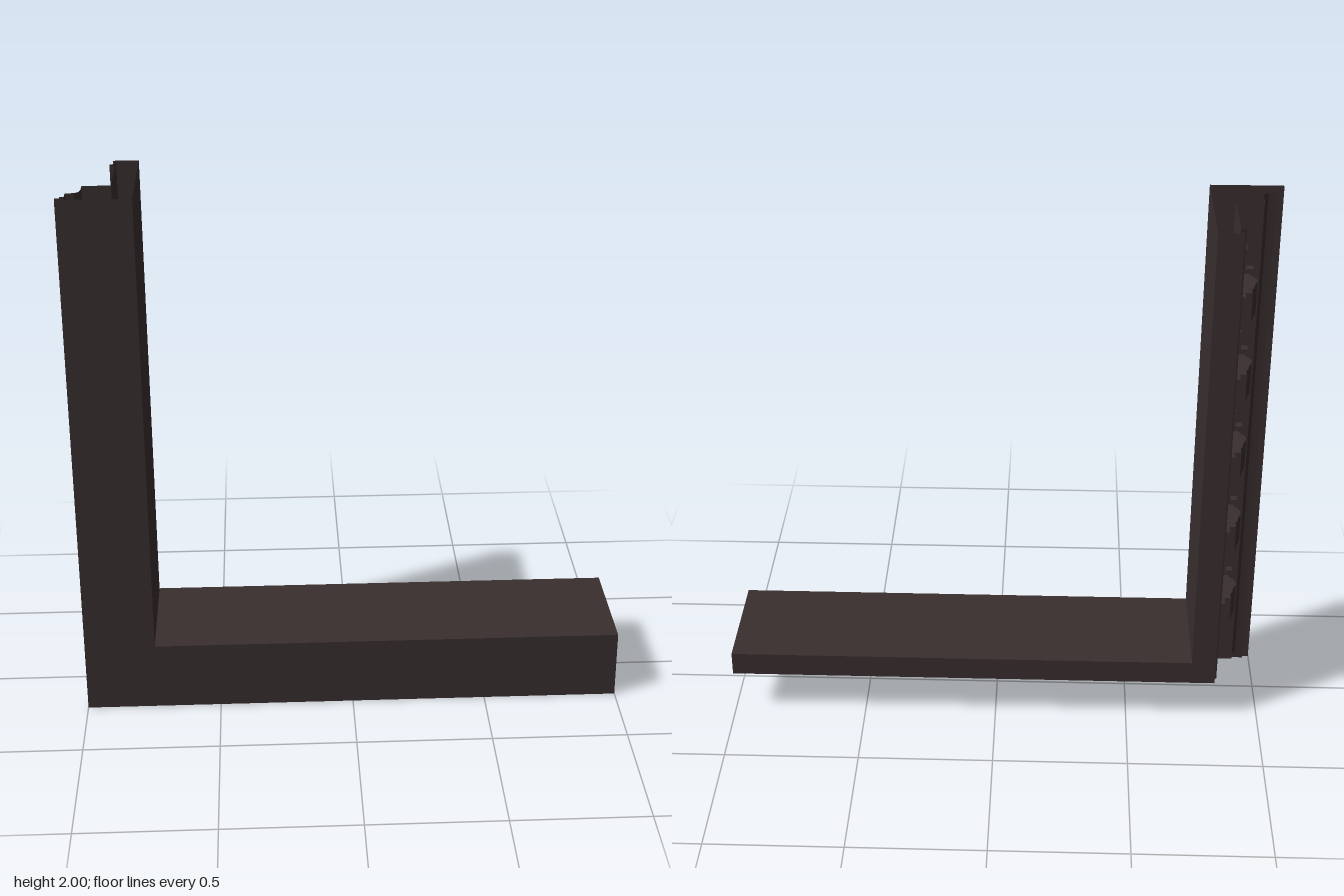
import * as THREE from 'three';

const darkWood = new THREE.MeshStandardMaterial({ color: 0x3a2f2f, side: THREE.DoubleSide });
darkWood.name = 'darkWood';

// Cross-section as [depth from the outer edge, z]
const PROFILE = [
  [0.26, 0.22], [0, 0.22], [0, 0.205], [0.015, 0.205], [0.015, 0.19], [0.03, 0.19], [0.03, 0.152],
  [0.047, 0.15], [0.06, 0.148], [0.071, 0.141], [0.077, 0.129], [0.08, 0.115], [0.08, 0.07],
  [0.18, 0.07], [0.18, -0.16], [0.16, -0.16], [0.16, -0.175], [0.175, -0.18], [0.18, -0.21],
  [0.17, -0.21], [0.17, -0.22], [0.26, -0.22],
];

// Scrolled bracket and its cap and foot
const BRACKET = [
  [0.18, 0.04], [0.12, 0.04], [0.115, 0.025], [0.102, 0.01], [0.094, -0.01], [0.097, -0.03],
  [0.108, -0.055], [0.112, -0.08], [0.12, -0.09], [0.12, -0.12], [0.18, -0.12],
];
const block = (d, z0, z1) => [[0.185, z0], [d, z0], [d, z1], [0.185, z1]];

// Hollow mitred run: open at the far end, cut at 45 degrees at the corner
function runGeometry(upright) {
  const pos = [];
  const at = (d, s, z) => (upright ? [d - 1, s, z] : [s - 1, d, z]);
  PROFILE.forEach(([d0, z0], i) => {
    const [d1, z1] = PROFILE[(i + 1) % PROFILE.length];
    const a = at(d0, d0, z0), b = at(d1, d1, z1), c = at(d1, 2, z1), e = at(d0, 2, z0);
    const quad = upright ? [a, b, c, a, c, e] : [a, c, b, a, e, c];
    quad.forEach((p) => pos.push(...p));
  });
  const g = new THREE.BufferGeometry();
  g.setAttribute('position', new THREE.Float32BufferAttribute(pos, 3));
  g.computeVertexNormals();
  return g;
}

// Extrude a [depth, z] outline along a run, centred on position s
function ornament(points, s, width, upright, name) {
  const shape = new THREE.Shape(points.map(([d, z]) =>
    (upright ? new THREE.Vector2(z, d) : new THREE.Vector2(d, z))));
  const g = new THREE.ExtrudeGeometry(shape, { depth: width, bevelEnabled: false });
  g.translate(0, 0, s - width / 2);
  const X = new THREE.Vector3(1, 0, 0), Y = new THREE.Vector3(0, 1, 0), Z = new THREE.Vector3(0, 0, 1);
  const m = upright ? new THREE.Matrix4().makeBasis(Z, X, Y) : new THREE.Matrix4().makeBasis(Y, Z, X);
  g.applyMatrix4(m);
  g.translate(-1, 0, 0);
  const mesh = new THREE.Mesh(g, darkWood);
  mesh.name = name;
  return mesh;
}

function createRun(upright) {
  const run = new THREE.Group();
  run.name = upright ? 'uprightMoulding' : 'baseMoulding';
  const shell = new THREE.Mesh(runGeometry(upright), darkWood);
  shell.name = 'mouldingShell';
  run.add(shell);
  const pitch = 0.3125;
  for (let i = 0; i < 5; i++) {
    const s = 0.43 + i * pitch;
    run.add(ornament(BRACKET, s, 0.12, upright, 'scrollBracket'));
    run.add(ornament(block(0.105, 0.07, 0.04), s, 0.16, upright, 'bracketCap'));
    run.add(ornament(block(0.145, -0.12, -0.16), s, 0.12, upright, 'bracketFoot'));
  }
  // Small dentils between the brackets
  for (let i = 0; i < 6; i++) {
    const s = 0.43 + (i - 0.5) * pitch;
    run.add(ornament(block(0.14, 0.07, -0.05), s, 0.07, upright, 'smallDentil'));
  }
  return run;
}

export function createModel() {
  const model = new THREE.Group();
  model.name = 'cornerCornice';
  model.add(createRun(true), createRun(false));
  return model;
}
